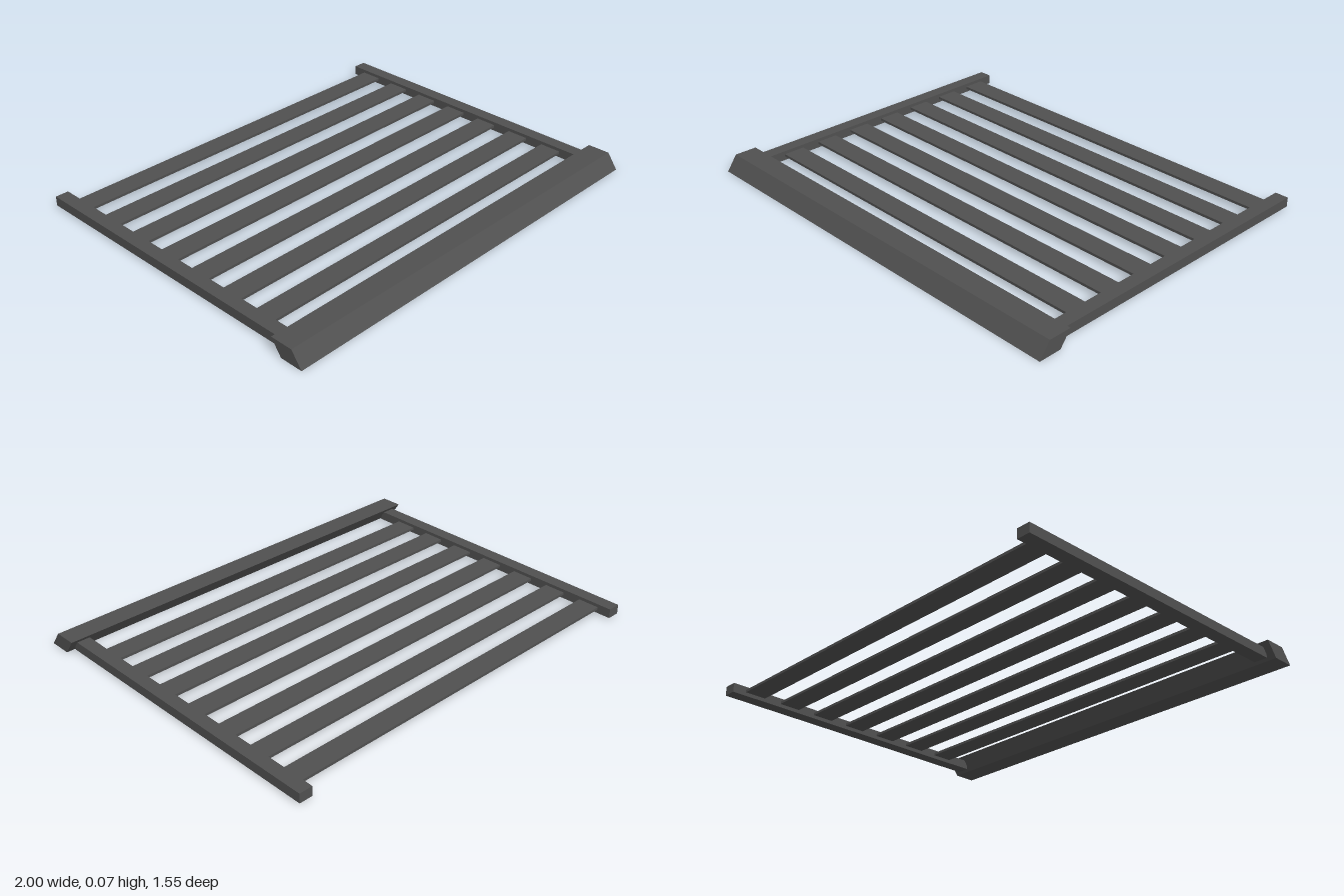
import * as THREE from 'three';

export function createModel() {
  const group = new THREE.Group();
  const charcoal = new THREE.MeshStandardMaterial({ color: 0x505050 });
  charcoal.name = 'charcoal';

  const add = (name, geometry, x = 0, y = 0, z = 0) => {
    const mesh = new THREE.Mesh(geometry, charcoal);
    mesh.name = name;
    mesh.position.set(x, y, z);
    group.add(mesh);
  };

  // Slanted front bar: parallelogram section in (-z, y), extruded along x
  const section = new THREE.Shape([
    new THREE.Vector2(-0.777, 0),
    new THREE.Vector2(-0.672, 0),
    new THREE.Vector2(-0.622, 0.069),
    new THREE.Vector2(-0.727, 0.069),
  ]);
  const bar = new THREE.ExtrudeGeometry(section, { depth: 2, bevelEnabled: false });
  bar.translate(0, 0, -1).rotateY(Math.PI / 2);
  add('frontBar', bar);

  // Side rails, tucked into the back of the front bar
  const rail = new THREE.BoxGeometry(0.062, 0.044, 1.432);
  add('leftRail', rail, 0.935, 0.029, -0.061);
  add('rightRail', rail, -0.935, 0.029, -0.061);

  // Thin flat slats between the rails
  const slat = new THREE.BoxGeometry(1.81, 0.012, 0.102);
  for (let i = 0; i < 7; i++) {
    add(`slat${i + 1}`, slat, 0, 0.03, -0.661 + i * 0.1895);
  }
  return group;
}
